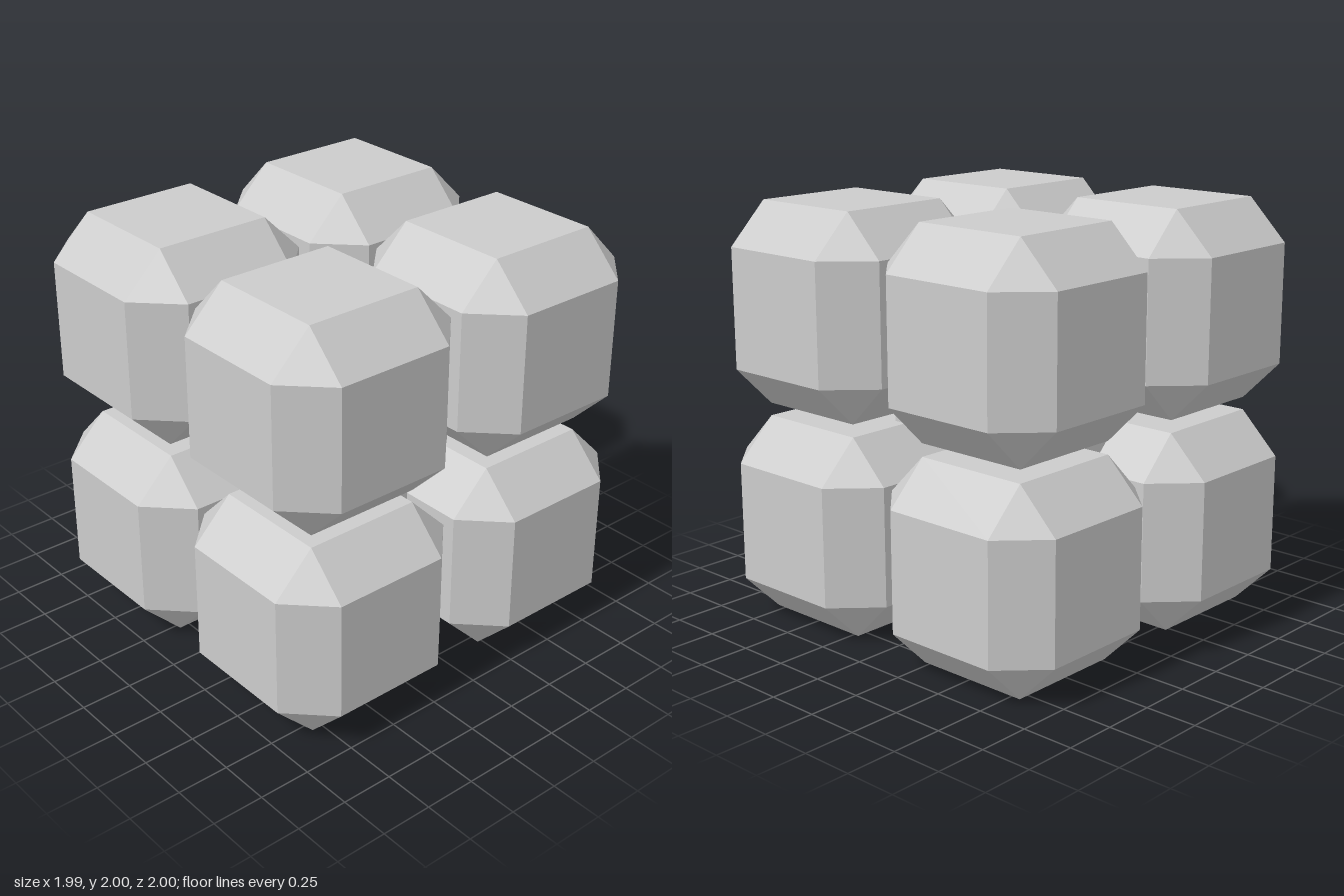
import * as THREE from 'three';
import { ConvexGeometry } from 'three/addons/geometries/ConvexGeometry.js';

// Cube with every edge bevelled at 45 degrees and triangular corners
function chamferedCube(half, flat) {
  const points = [];
  for (const x of [-1, 1]) for (const y of [-1, 1]) for (const z of [-1, 1]) {
    points.push(
      new THREE.Vector3(x * half, y * flat, z * flat),
      new THREE.Vector3(x * flat, y * half, z * flat),
      new THREE.Vector3(x * flat, y * flat, z * half)
    );
  }
  return new ConvexGeometry(points);
}

export function createModel() {
  const group = new THREE.Group();
  group.name = 'cubeCluster';
  const grey = new THREE.MeshStandardMaterial({ color: 0xcccccc });
  grey.name = 'light grey';
  const geometry = chamferedCube(0.484, 0.287);

  const addCube = (name, x, y, z) => {
    const cube = new THREE.Mesh(geometry, grey);
    cube.name = name;
    cube.position.set(x, y, z);
    group.add(cube);
  };

  // Eight cubes at the corners
  for (const [sideName, x] of [['Right', -0.51], ['Left', 0.51]])
    for (const [levelName, y] of [['lower', 0.484], ['upper', 1.514]])
      for (const [endName, z] of [['Back', -0.516], ['Front', 0.516]])
        addCube(levelName + endName + sideName + 'Cube', x, y, z);

  // Hidden cube in the middle
  addCube('centreCube', 0, 0.997, 0.008);
  return group;
}
